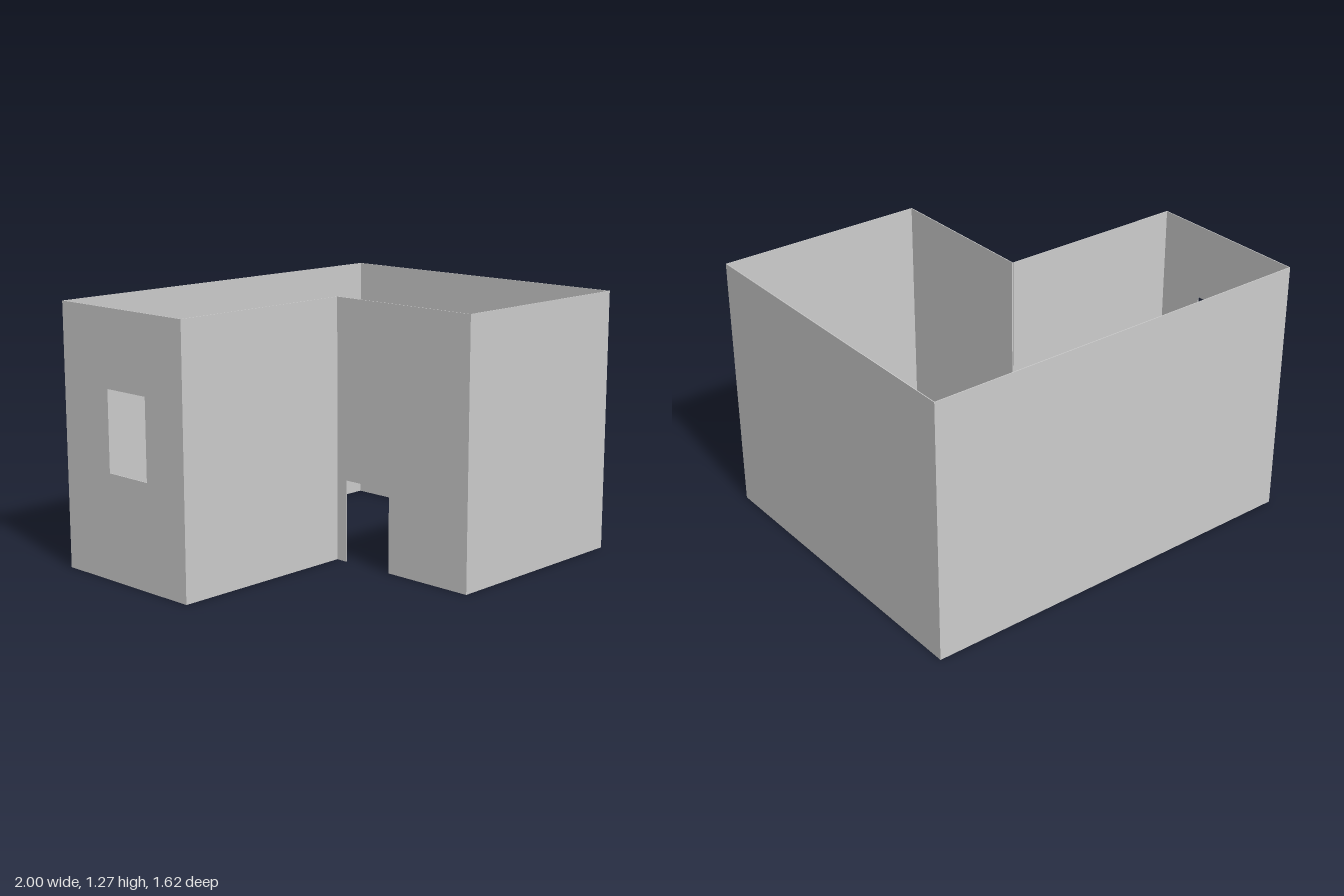
import * as THREE from 'three';

const HEIGHT = 1.27;
const THICK = 0.004;

// Thin upright wall from a to b (plan x, z), thickened towards the room.
// An opening is [start, end, bottom, top], measured along the wall.
function makeWall(name, a, b, opening, material) {
  const dx = b[0] - a[0], dz = b[1] - a[1];
  const length = Math.hypot(dx, dz);
  const outline = [[0, 0]];
  const shape = new THREE.Shape();
  if (opening) {
    const [s, e, bottom, top] = opening;
    if (bottom === 0) {
      // doorway notched out of the bottom edge
      outline.push([s, 0], [s, top], [e, top], [e, 0]);
    } else {
      shape.holes.push(new THREE.Path(
        [[s, bottom], [s, top], [e, top], [e, bottom]].map(p => new THREE.Vector2(...p))));
    }
  }
  outline.push([length, 0], [length, HEIGHT], [0, HEIGHT]);
  shape.setFromPoints(outline.map(p => new THREE.Vector2(...p)));

  const geometry = new THREE.ExtrudeGeometry(shape, { depth: THICK, bevelEnabled: false });
  const wall = new THREE.Mesh(geometry, material);
  wall.name = name;
  wall.position.set(a[0], 0, a[1]);
  wall.rotation.y = Math.atan2(-dz, dx);
  return wall;
}

export function createModel() {
  const model = new THREE.Group();
  model.name = 'roomWalls';
  const material = new THREE.MeshStandardMaterial({ color: 0xcccccc, side: THREE.DoubleSide });

  // L-shaped plan, open at the top and the bottom
  const corners = [[-1, -0.81], [1, -0.81], [1, 0.81], [-0.04, 0.81], [-0.04, 0.01], [-1, 0.01]];
  const walls = [
    ['backWall'],
    ['leftWall'],
    ['frontWall'],
    ['doorWall', [0.47, 0.74, 0, 0.4]],
    ['recessedFrontWall'],
    ['windowWall', [0.25, 0.51, 0.51, 0.9]],
  ];
  walls.forEach(([name, opening], i) => {
    model.add(makeWall(name, corners[i], corners[(i + 1) % corners.length], opening, material));
  });
  return model;
}
